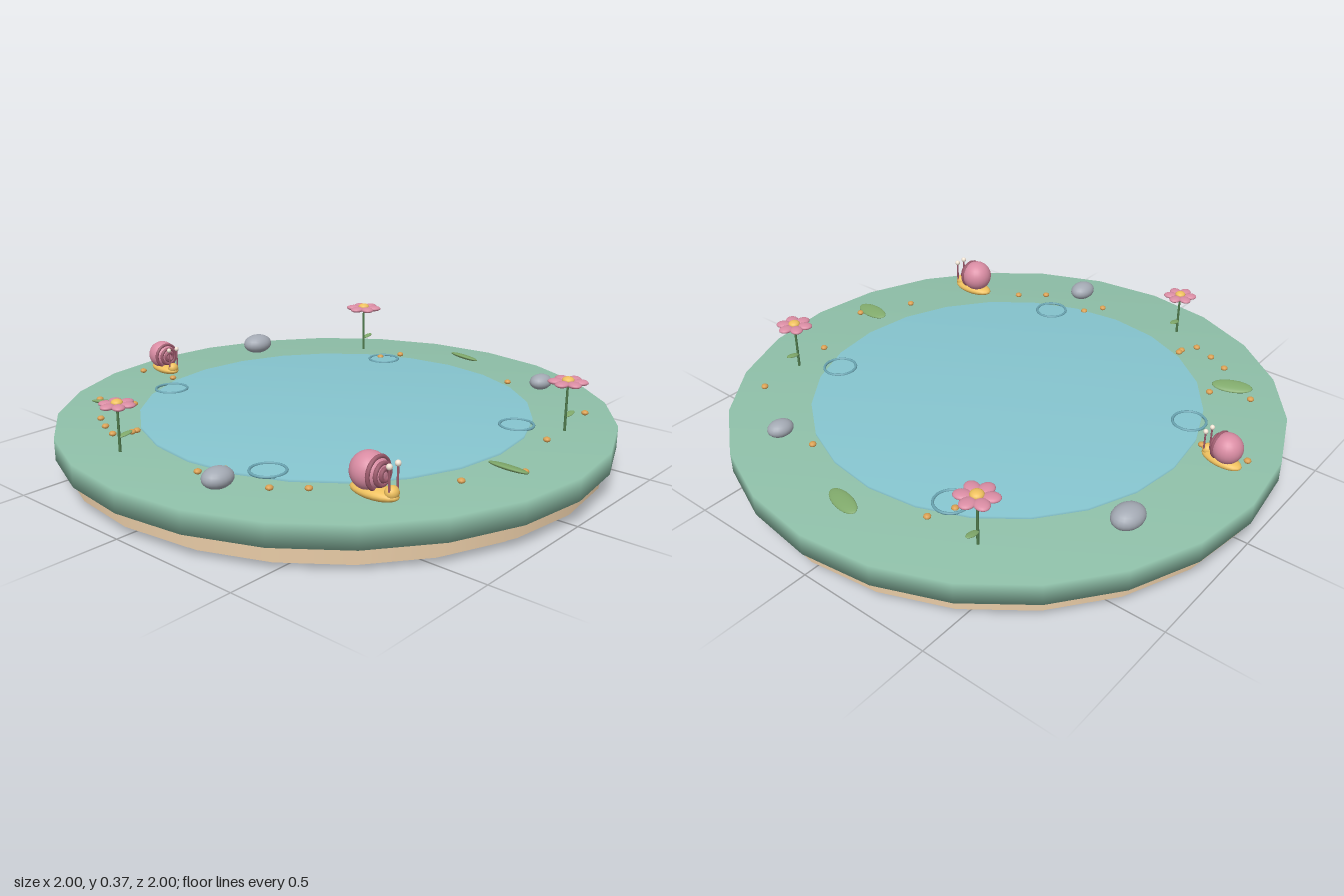
import * as THREE from 'three';
import { mergeVertices } from 'three/addons/utils/BufferGeometryUtils.js';

const mats = {};
const mat = (color) => (mats[color] ??= new THREE.MeshStandardMaterial({ color }));
const GREEN = 0x8fc0a9, WATER = 0x86c5cf, SAND = 0xe8cba6, PINK = 0xd98ca3, ROSE = 0x9c5a6c,
  YELLOW = 0xeec05e, LEAF = 0x7fa86a, STEM = 0x4f7a4c, STONE = 0xa3a9b3, ORANGE = 0xd9a052,
  RIPPLE = 0x6aa5b2, CREAM = 0xf3e6d6;

function add(parent, name, geometry, color, x = 0, y = 0, z = 0) {
  const mesh = new THREE.Mesh(geometry, mat(color));
  mesh.name = name;
  mesh.position.set(x, y, z);
  parent.add(mesh);
  return mesh;
}

function group(parent, name, x, y, z) {
  const g = new THREE.Group();
  g.name = name;
  g.position.set(x, y, z);
  parent.add(g);
  return g;
}

// Sphere stretched into an ellipsoid
const ellipsoid = (rx, ry, rz, w = 20, h = 14) => new THREE.SphereGeometry(1, w, h).scale(rx, ry, rz);

// 24-sided disc from y0 to y1; soft discs share normals over the rim
function disc(parent, name, radius, y0, y1, color, soft) {
  let geo = new THREE.CylinderGeometry(radius, radius, y1 - y0, 24);
  if (soft) {
    geo.deleteAttribute('normal');
    geo.deleteAttribute('uv');
    geo = mergeVertices(geo);
    geo.computeVertexNormals();
  }
  return add(parent, name, geo, color, 0, (y0 + y1) / 2, 0);
}

function flower(parent, x, z, top, size) {
  const f = group(parent, 'flower', x, 0, z);
  const h = top - 0.15;
  add(f, 'stem', new THREE.CylinderGeometry(0.004, 0.005, h, 8), STEM, 0, 0.15 + h / 2, 0);
  const leaf = add(f, 'stemLeaf', ellipsoid(0.028, 0.005, 0.013), LEAF, 0.025, 0.218, 0);
  leaf.rotation.z = 0.15;
  for (let i = 0; i < 6; i++) {
    const a = (i * Math.PI) / 3;
    const petal = add(f, 'petal', ellipsoid(0.43 * size, 0.16 * size, 0.36 * size), PINK,
      Math.cos(a) * size * 0.62, top, Math.sin(a) * size * 0.62);
    petal.rotation.y = -a;
  }
  add(f, 'flowerCentre', ellipsoid(0.33 * size, 0.2 * size, 0.33 * size), YELLOW, 0, top + 0.006, 0);
}

function snail(parent, x, z, scale, turn) {
  const s = group(parent, 'snail', x, 0.165, z);
  s.scale.setScalar(scale);
  s.rotation.y = turn;
  add(s, 'body', ellipsoid(0.042, 0.022, 0.088), YELLOW, 0, 0.022, 0.02);
  add(s, 'head', ellipsoid(0.024, 0.022, 0.022), YELLOW, 0, 0.036, 0.085);
  add(s, 'shell', new THREE.SphereGeometry(0.06, 24, 18), PINK, 0, 0.083, 0);
  // Coil of rings on the front of the shell
  for (const [r, dz] of [[0.05, 0.034], [0.034, 0.05], [0.018, 0.058]]) {
    add(s, 'shellCoil', new THREE.TorusGeometry(r, 0.007, 8, 28), ROSE, 0, 0.083, dz);
  }
  for (const side of [-1, 1]) {
    add(s, 'feeler', new THREE.CylinderGeometry(0.0035, 0.0035, 0.075, 8), ROSE, side * 0.02, 0.082, 0.09);
    add(s, 'feelerTip', new THREE.SphereGeometry(0.01, 12, 8), CREAM, side * 0.02, 0.122, 0.09);
  }
}

export function createModel() {
  const pond = new THREE.Group();
  pond.name = 'pond';

  // Stepped base, grassy bank and water
  disc(pond, 'foot', 0.92, 0, 0.035, SAND, false);
  disc(pond, 'sandLayer', 0.967, 0.03, 0.09, SAND, false);
  disc(pond, 'bank', 1, 0.085, 0.163, GREEN, true);
  disc(pond, 'water', 0.707, 0.13, 0.172, WATER, true);

  // Ripple rings at the water's edge
  for (const [x, z] of [[-0.26, -0.61], [0.6, -0.26], [-0.605, 0.255], [0.26, 0.605]]) {
    add(pond, 'ripple', new THREE.TorusGeometry(0.059, 0.005, 8, 32).rotateX(Math.PI / 2), RIPPLE, x, 0.173, z);
  }

  flower(pond, -0.793, -0.235, 0.325, 0.06);
  flower(pond, 0.69, -0.447, 0.346, 0.07);
  flower(pond, 0.34, 0.747, 0.338, 0.065);

  snail(pond, -0.54, 0.605, 1, 0);
  snail(pond, -0.117, -0.832, 0.88, -0.13);

  // Stones: x, z, radius, turn
  for (const [x, z, r, turn] of [[0.34, -0.75, 0.062, -0.2], [-0.79, 0.23, 0.054, -0.1], [0.69, 0.442, 0.047, -0.2]]) {
    const stone = add(pond, 'stone', ellipsoid(r, r * 0.63, r * 0.8), STONE, x, 0.167 + r * 0.6, z);
    stone.rotation.y = turn;
  }

  // Fallen leaves: x, z, turn
  for (const [x, z, turn] of [[-0.54, -0.623, 0.4], [0.82, -0.003, -0.22], [-0.118, 0.812, -0.05]]) {
    const leaf = add(pond, 'fallenLeaf', ellipsoid(0.03, 0.009, 0.074), LEAF, x, 0.183, z);
    leaf.rotation.set(0, turn, -0.3);
  }

  // Small pebbles: x, z
  const pebbles = [
    [-0.18, -0.88], [-0.165, -0.715], [-0.52, -0.71], [-0.47, -0.57], [-0.65, -0.53],
    [-0.69, -0.45], [-0.72, -0.37], [-0.665, -0.335], [-0.645, -0.335], [-0.755, 0.1],
    [-0.685, 0.145], [-0.7, 0.355], [-0.625, 0.445], [-0.28, 0.75], [-0.09, 0.855],
    [0.2, 0.76], [0.53, 0.72], [0.665, 0.31], [0.7, -0.25], [0.615, -0.29],
  ];
  for (const [x, z] of pebbles) {
    add(pond, 'pebble', ellipsoid(0.013, 0.009, 0.013, 10, 8), ORANGE, x, 0.173, z);
  }
  return pond;
}
